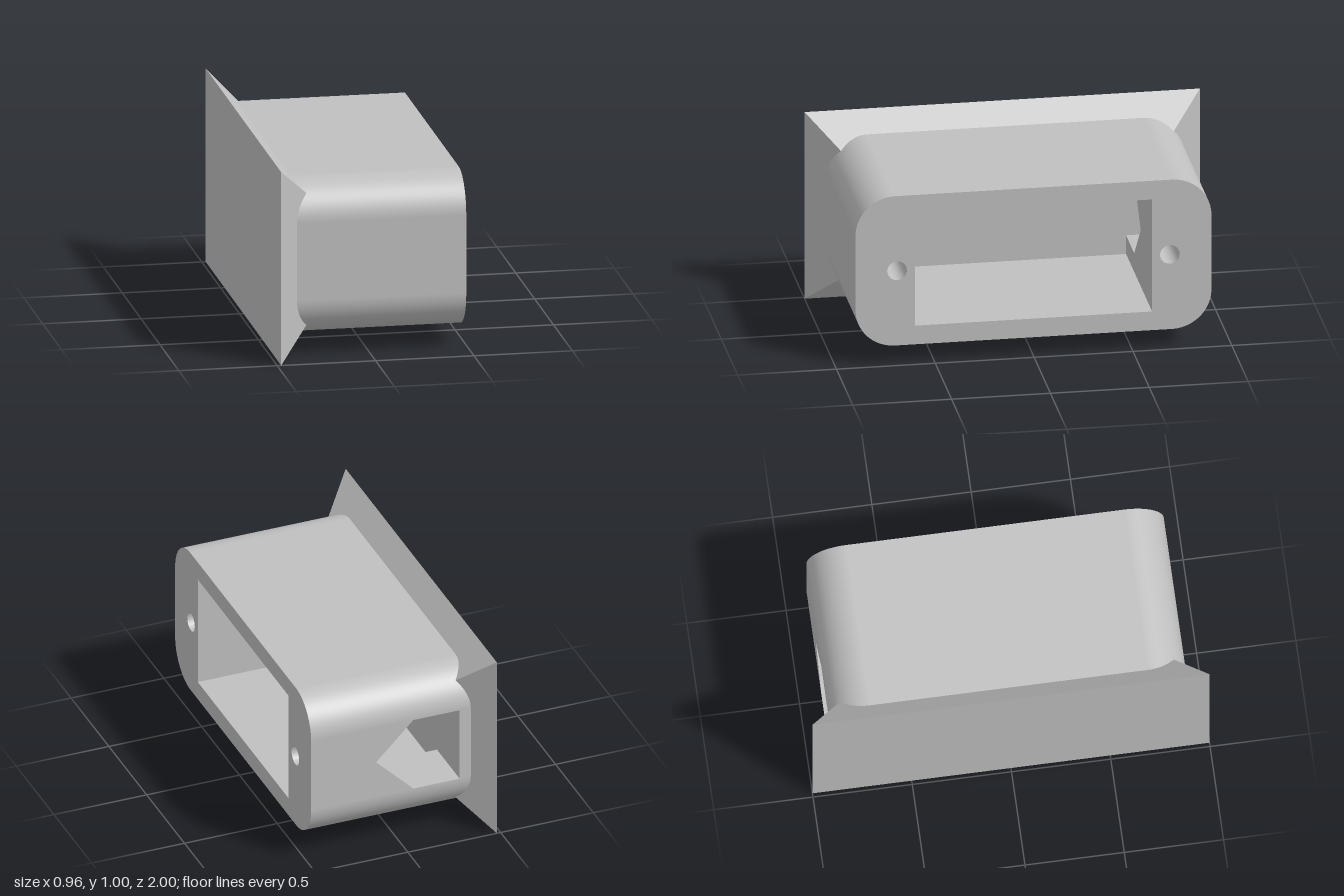
import * as THREE from 'three';

const grey = new THREE.MeshStandardMaterial({ color: 0xc0c0c0 });
grey.name = 'plain grey';

// Key positions along x, and the side window's corner and tip
const BACK = -0.48, ROOT = -0.4, FLOOR = -0.32, END = 0.48;
const WIN = -0.07, TIP = 0.13;
const HOLE_Z = 0.69, HOLE_R = 0.05, HOLE_END = 0.08;

const X = [1, 0, 0], Y = [0, 1, 0], NX = [-1, 0, 0], Z = [0, 0, 1], NZ = [0, 0, -1];
const rect = (a0, b0, a1, b1) => [[a0, b0], [a1, b0], [a1, b1], [a0, b1]];
const points = (list) => list.map(([a, b]) => new THREE.Vector2(a, b));

function add(group, name, geometry) {
  const mesh = new THREE.Mesh(geometry, grey);
  mesh.name = name;
  group.add(mesh);
}

// Flat face in the plane through origin spanned by u and v, facing u x v
function face(group, name, outline, origin, u, v) {
  const shape = outline instanceof THREE.Shape ? outline : new THREE.Shape(points(outline));
  const U = new THREE.Vector3(...u).normalize(), V = new THREE.Vector3(...v).normalize();
  const m = new THREE.Matrix4().makeBasis(U, V, U.clone().cross(V)).setPosition(...origin);
  add(group, name, new THREE.ShapeGeometry(shape, 24).applyMatrix4(m));
}

// Bevelled mounting flange; its small end is also the cavity's back wall
function makeFlange(group) {
  const depth = FLOOR - BACK;
  const g = new THREE.BoxGeometry(depth, 1, 2);
  const p = g.attributes.position;
  for (let i = 0; i < p.count; i++) {
    if (p.getX(i) > 0) {
      p.setY(i, Math.sign(p.getY(i)) * (0.5 - depth));
      p.setZ(i, Math.sign(p.getZ(i)) * (1 - depth));
    }
  }
  g.computeVertexNormals();
  g.translate((BACK + FLOOR) / 2, 0.5, 0);
  add(group, 'flange', g);
}

// Rounded outer skin
function makeShell(group) {
  face(group, 'shellTop', rect(ROOT, -0.7, END, 0.7), [0, 0.9, 0], X, NZ);
  face(group, 'shellBottom', rect(ROOT, -0.7, END, 0.7), [0, 0.1, 0], X, Z);
  face(group, 'shellFront', rect(ROOT, 0.3, END, 0.7), [0, 0, 0.9], X, Y);
  // Back side is split around the house-shaped window
  face(group, 'shellBackStrip', rect(-FLOOR, 0.3, -ROOT, 0.7), [0, 0, -0.9], NX, Y);
  face(group, 'shellBack',
    [[-END, 0.3], [-WIN, 0.3], [-TIP, 0.5], [-WIN, 0.7], [-END, 0.7]],
    [0, 0, -0.9], NX, Y);

  [[0.7, 0.7], [0.3, 0.7], [0.3, -0.7], [0.7, -0.7]].forEach(([y, z], i) => {
    const g = new THREE.CylinderGeometry(0.2, 0.2, END - ROOT, 20, 1, true,
      (i - 1) * Math.PI / 2, Math.PI / 2);
    g.rotateZ(-Math.PI / 2).translate((END + ROOT) / 2, y, z);
    add(group, 'shellCorner', g);
  });

  // Open end with the main opening and two screw holes
  const s = new THREE.Shape();
  s.moveTo(-0.7, 0.1);
  s.lineTo(0.7, 0.1);
  s.absarc(0.7, 0.3, 0.2, -Math.PI / 2, 0);
  s.absarc(0.7, 0.7, 0.2, 0, Math.PI / 2);
  s.absarc(-0.7, 0.7, 0.2, Math.PI / 2, Math.PI);
  s.absarc(-0.7, 0.3, 0.2, Math.PI, Math.PI * 1.5);
  s.holes.push(new THREE.Path(points(rect(-0.6, 0.2, 0.6, 0.8))));
  for (const a of [-HOLE_Z, HOLE_Z]) {
    const hole = new THREE.Path();
    hole.absarc(a, 0.5, HOLE_R, 0, Math.PI * 2);
    s.holes.push(hole);
  }
  face(group, 'endFace', s, [END, 0, 0], NZ, Y);
}

// Inside of the rectangular cavity
function makeCavity(group) {
  face(group, 'cavityFloor', rect(FLOOR, -0.6, END, 0.6), [0, 0.2, 0], X, NZ);
  face(group, 'cavityCeiling', rect(FLOOR, -0.6, END, 0.6), [0, 0.8, 0], X, Z);
  face(group, 'cavityFrontWall', rect(-END, 0.2, -FLOOR, 0.8), [0, 0, 0.6], NX, Y);
  face(group, 'cavityBackWall',
    [[FLOOR, 0.2], [END, 0.2], [END, 0.8], [FLOOR, 0.8], [FLOOR, 0.7],
      [WIN, 0.7], [TIP, 0.5], [WIN, 0.3], [FLOOR, 0.3]],
    [0, 0, -0.6], X, Y);
}

// Side window tunnel, from the cavity out through the back side
function makeWindow(group) {
  face(group, 'windowSill', rect(FLOOR, 0.6, WIN, 0.9), [0, 0.3, 0], X, NZ);
  face(group, 'windowHead', rect(FLOOR, -0.9, WIN, -0.6), [0, 0.7, 0], X, Z);
  face(group, 'windowJamb', rect(0.84, 0.3, 0.9, 0.7), [FLOOR, 0, 0], NZ, Y);
  // Slanted faces, notched where the screw hole breaks through at the tip
  for (const s of [-1, 1]) {
    const L = s * 0.2 * Math.SQRT2;
    const outline = [[L, 0.6], [0, 0.6]];
    for (let i = 0; i <= 12; i++) {
      const t = i / 12 * Math.PI;
      outline.push([s * HOLE_R * Math.SQRT2 * Math.sin(t), HOLE_Z - HOLE_R * Math.cos(t)]);
    }
    outline.push([0, 0.9], [L, 0.9]);
    face(group, 'windowSlant', outline, [TIP, 0.5, 0], s < 0 ? [1, 1, 0] : [-1, 1, 0], NZ);
  }
}

// Screw holes: the front one is blind, the back one meets the window tunnel
function makeScrewHoles(group) {
  for (const z of [HOLE_Z, -HOLE_Z]) {
    const g = new THREE.CylinderGeometry(HOLE_R, HOLE_R, END - HOLE_END, 24, 1, true);
    g.rotateZ(-Math.PI / 2).scale(1, 1, -1).translate((END + HOLE_END) / 2, 0.5, z);
    g.computeVertexNormals();
    const p = g.attributes.position;
    for (let i = 0; z < 0 && i < p.count; i++) {
      if (p.getX(i) < 0.2) p.setX(i, TIP - Math.abs(p.getY(i) - 0.5));
    }
    add(group, 'screwHole', g);
  }
  const disc = new THREE.Shape();
  disc.absarc(-HOLE_Z, 0.5, HOLE_R, 0, Math.PI * 2);
  face(group, 'screwHoleBottom', disc, [HOLE_END, 0, 0], NZ, Y);
}

export function createModel() {
  const model = new THREE.Group();
  model.name = 'flangedHousing';
  const parts = { flange: makeFlange, shell: makeShell, cavity: makeCavity,
    sideWindow: makeWindow, screwHoles: makeScrewHoles };
  for (const [name, build] of Object.entries(parts)) {
    const group = new THREE.Group();
    group.name = name;
    build(group);
    model.add(group);
  }
  return model;
}
